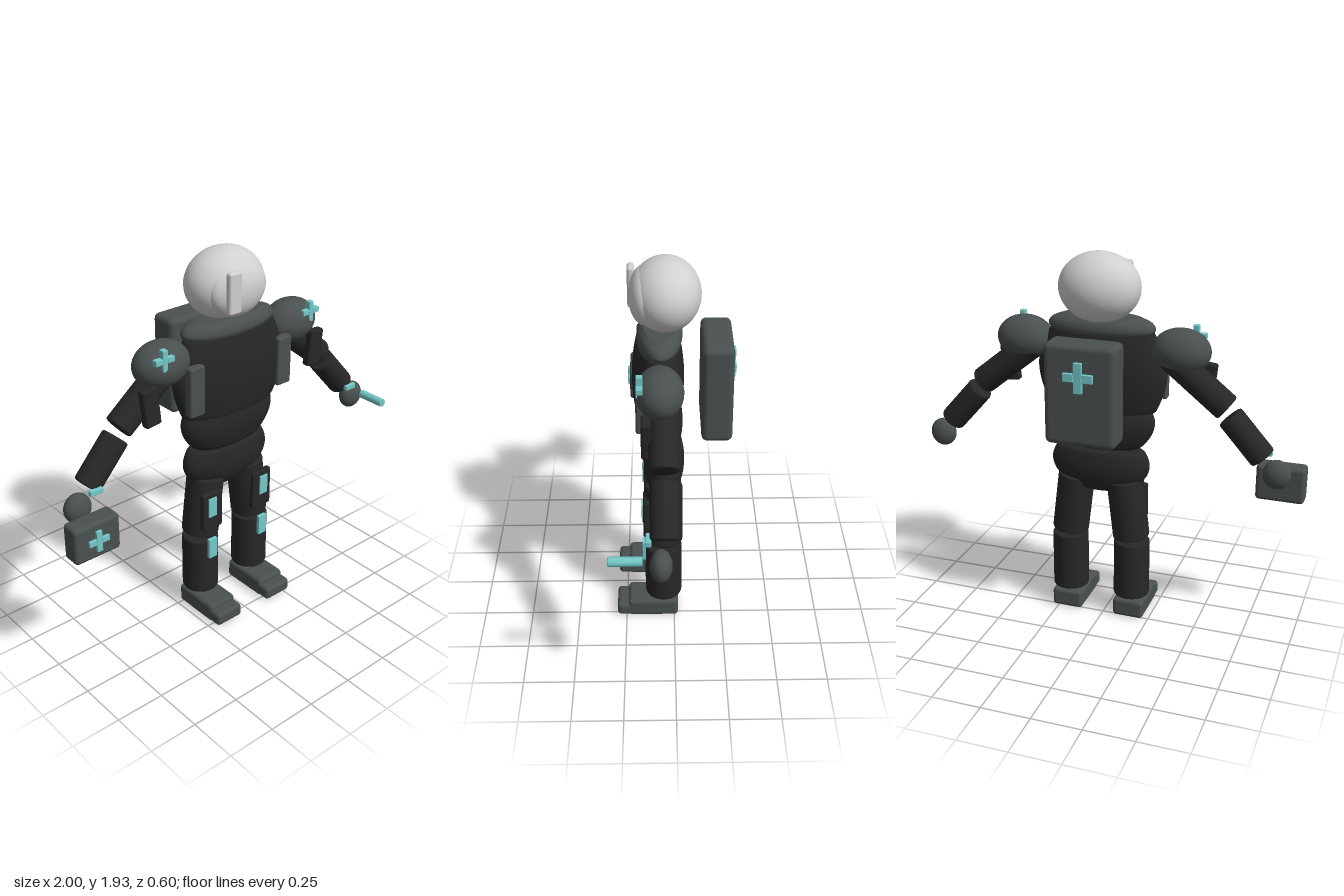
import * as THREE from 'three';
import { RoundedBoxGeometry } from 'three/addons/geometries/RoundedBoxGeometry.js';

const mat = (name, color) => new THREE.MeshStandardMaterial({ name, color });

export function createModel() {
  const suit = mat('suit black', 0x272727);
  const armour = mat('armour grey', 0x4a5050);
  const shell = mat('helmet white', 0xd0d0d1);
  const accent = mat('accent teal', 0x74c8c8);

  const root = new THREE.Group();
  root.name = 'armouredFigure';
  const MID = 0.03; // the body stands slightly off centre, balancing the carried case

  function add(name, geometry, material, x, y, z) {
    const mesh = new THREE.Mesh(geometry, material);
    mesh.name = name;
    mesh.position.set(x, y, z);
    root.add(mesh);
    return mesh;
  }

  const box = (name, m, w, h, d, x, y, z, r = 0.012) =>
    add(name, new RoundedBoxGeometry(w, h, d, 3, r), m, x, y, z);

  const ball = (name, m, rx, ry, rz, x, y, z) =>
    add(name, new THREE.SphereGeometry(1, 40, 28).scale(rx, ry, rz), m, x, y, z);

  // Oval body section turned from [half width, height] points
  function oval(name, m, points, depth, z) {
    const curve = new THREE.SplineCurve(points.map(([r, y]) => new THREE.Vector2(r, y)));
    const profile = curve.getPoints(28);
    profile.unshift(new THREE.Vector2(0, points[0][1]));
    profile.push(new THREE.Vector2(0, points[points.length - 1][1]));
    return add(name, new THREE.LatheGeometry(profile, 48).scale(1, 1, depth), m, MID, 0, z);
  }

  // Cylinder with softly bevelled rims between two points
  function limb(name, m, r, a, b, bevel = 0.01) {
    const from = new THREE.Vector3(...a), to = new THREE.Vector3(...b);
    const h = from.distanceTo(to) / 2;
    const profile = [
      [0, -h], [r - bevel, -h], [r - bevel * 0.3, -h + bevel * 0.3], [r, -h + bevel],
      [r, h - bevel], [r - bevel * 0.3, h - bevel * 0.3], [r - bevel, h], [0, h],
    ].map(([x, y]) => new THREE.Vector2(x, y));
    const mesh = add(name, new THREE.LatheGeometry(profile, 32), m, 0, 0, 0);
    mesh.position.addVectors(from, to).multiplyScalar(0.5);
    mesh.quaternion.setFromUnitVectors(new THREE.Vector3(0, 1, 0), to.sub(from).normalize());
    return mesh;
  }

  // Medical cross from one long bar and two stubs
  function cross(name, size, bar, depth, x, y, z) {
    box(name + 'Upright', accent, bar, size, depth, x, y, z, 0.003);
    const stub = (size - bar) / 2;
    for (const s of [-1, 1])
      box(name + 'Arm', accent, stub, bar, depth, x + s * (bar + stub) / 2, y, z, 0.003);
  }

  // Helmet with visor bulge and side module
  ball('helmet', shell, 0.205, 0.172, 0.167, MID, 1.762, 0.037);
  ball('visor', shell, 0.165, 0.135, 0.08, MID, 1.755, 0.13);
  box('helmetModule', shell, 0.075, 0.205, 0.035, -0.048, 1.768, 0.198, 0.014);

  // Torso
  oval('collar', armour,
    [[0.25, 1.537], [0.268, 1.548], [0.275, 1.568], [0.255, 1.595], [0.2, 1.618]], 0.39, 0.065);
  oval('chest', suit,
    [[0.262, 1.142], [0.285, 1.152], [0.325, 1.26], [0.335, 1.36], [0.31, 1.46], [0.265, 1.545]],
    0.375, 0.075);
  oval('abdomen', suit,
    [[0.19, 0.942], [0.225, 0.965], [0.268, 1.03], [0.28, 1.09], [0.265, 1.14]], 0.385, 0.063);
  oval('pelvis', suit,
    [[0.13, 0.713], [0.19, 0.74], [0.245, 0.8], [0.26, 0.86], [0.24, 0.92], [0.215, 0.938]],
    0.4, 0.05);

  // Backpack
  box('backpack', armour, 0.36, 0.505, 0.15, 0.025, 1.303, -0.207, 0.03);
  cross('backpackCross', 0.15, 0.042, 0.02, 0.025, 1.4, -0.288);

  // Paired parts
  for (const s of [-1, 1]) {
    const X = (d) => MID + s * d;

    box('chestPlate', armour, 0.09, 0.255, 0.05, X(0.275), 1.322, 0.155);

    ball('shoulder', armour, 0.147, 0.113, 0.11, X(0.405), 1.472, 0.068);
    cross('shoulderCross', 0.105, 0.028, 0.03, X(0.455), 1.532, 0.157);

    limb('upperArm', suit, 0.07, [X(0.35), 1.45, 0.05], [X(0.645), 1.215, 0.05]);
    const guard = box('upperArmGuard', suit, 0.088, 0.195, 0.045, X(0.52), 1.312, 0.13);
    guard.rotation.z = -s * 0.1;
    limb('forearm', suit, 0.067, [X(0.66), 1.175, 0.05], [X(0.832), 0.982, 0.05]);
    box('wristBand', accent, 0.07, 0.028, 0.024, X(0.83), 0.983, 0.121, 0.004);
    ball('hand', armour, 0.07, 0.075, 0.05, X(0.9), 0.897, 0.067);

    limb('thigh', suit, 0.095, [X(0.13), 0.775, 0.052], [X(0.168), 0.455, 0.052]);
    box('thighPlate', suit, 0.125, 0.215, 0.035, X(0.165), 0.617, 0.138);
    box('thighMarker', accent, 0.052, 0.108, 0.016, X(0.172), 0.642, 0.155, 0.003);
    limb('shin', suit, 0.094, [X(0.17), 0.435, 0.055], [X(0.17), 0.122, 0.055]);
    box('kneeMarker', accent, 0.052, 0.112, 0.02, X(0.17), 0.396, 0.153, 0.003);

    box('boot', armour, 0.165, 0.1, 0.26, X(0.17), 0.055, 0.11, 0.02);
    box('bootToe', armour, 0.162, 0.072, 0.12, X(0.17), 0.044, 0.238, 0.02);
  }

  // Carried case and torch
  box('medicalCase', armour, 0.245, 0.187, 0.1, -0.877, 0.812, 0.187, 0.02);
  cross('caseCross', 0.108, 0.03, 0.02, -0.877, 0.812, 0.24);
  limb('torch', accent, 0.022, [0.934, 0.926, 0.147], [0.934, 0.926, 0.298], 0.003);

  return root;
}
